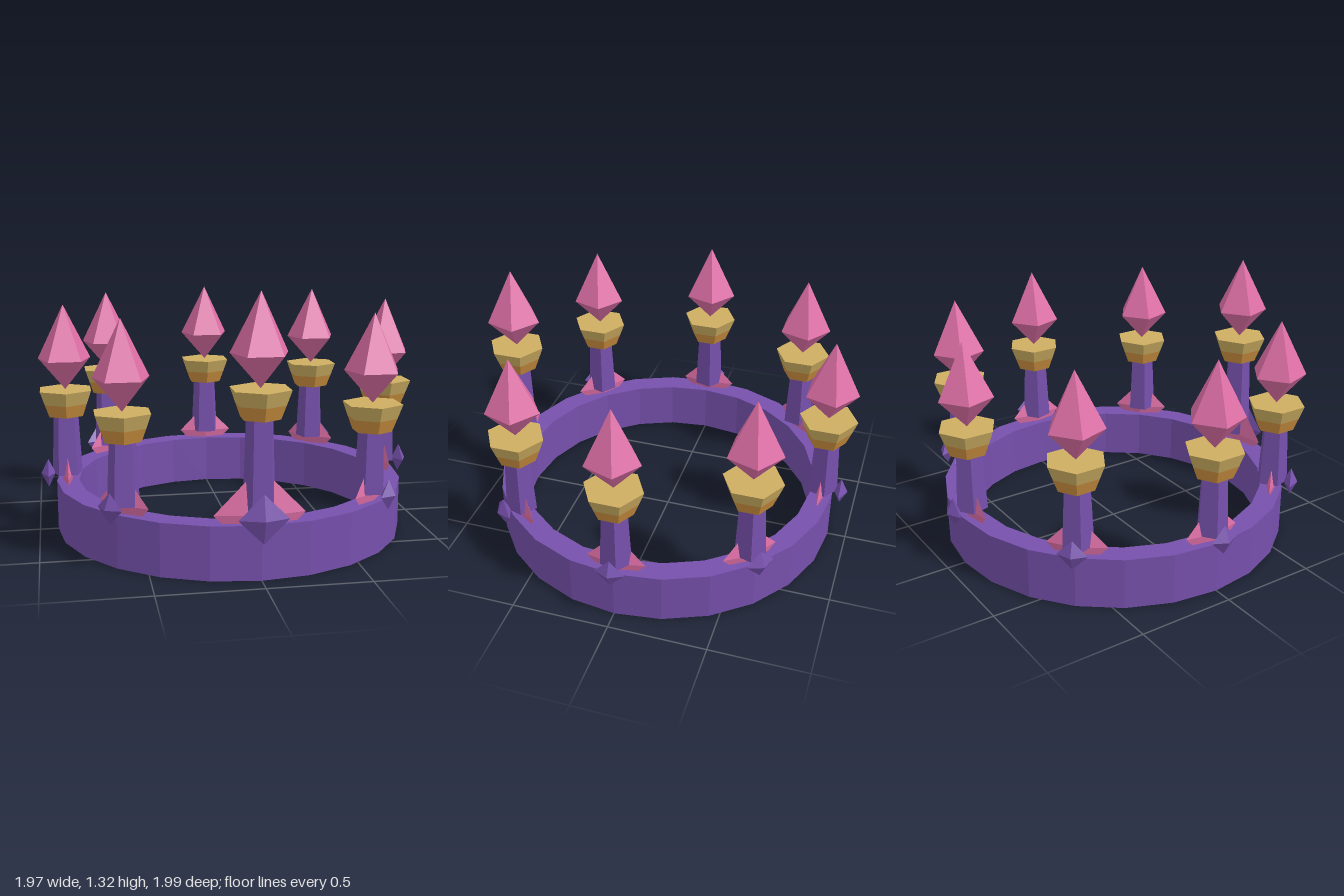
import * as THREE from 'three';

const mat = (name, color) => {
  const m = new THREE.MeshStandardMaterial({ color, flatShading: true });
  m.name = name;
  return m;
};

export function createModel() {
  const purple = mat('purple', 0x7650ac);
  const pink = mat('pink', 0xe070a8);
  const gold = mat('gold', 0xcdae62);
  const amber = mat('amber', 0xcd9040);
  const crown = new THREE.Group();
  crown.name = 'crown';

  const add = (parent, name, geometry, material, x = 0, y = 0, z = 0) => {
    const mesh = new THREE.Mesh(geometry, material);
    mesh.name = name;
    mesh.position.set(x, y, z);
    parent.add(mesh);
    return mesh;
  };

  // Tapered prism between two heights
  const prism = (rTop, rBottom, y0, y1, sides, open = false) =>
    new THREE.CylinderGeometry(rTop, rBottom, y1 - y0, sides, 1, open).translate(0, (y0 + y1) / 2, 0);

  // Diamond: octahedron stretched along each axis
  const diamond = (w, h, d) => new THREE.OctahedronGeometry(1).scale(w, h, d);

  // Band: rectangular section turned around the axis
  const section = [[0.79, 0], [0.905, 0], [0.905, 0.262], [0.79, 0.262], [0.79, 0]];
  add(crown, 'band', new THREE.LatheGeometry(section.map(([r, y]) => new THREE.Vector2(r, y)), 24), purple);

  // Eight spires; the front one is taller with larger ornaments
  for (let i = 0; i < 8; i++) {
    const a = (i * Math.PI) / 4;
    const front = i === 0;
    const sx = Math.sin(a), cz = Math.cos(a);
    const cupY = front ? 0.748 : 0.61;
    const cupTop = cupY + 0.135;

    // Spire parts keep the same heading all around the band
    const spire = new THREE.Group();
    spire.name = front ? 'frontSpire' : 'spire';
    spire.position.set(0.848 * sx, 0, 0.848 * cz);
    crown.add(spire);

    add(spire, 'column', prism(0.066, 0.081, 0.303, cupY + 0.005, 5).rotateY(Math.PI), purple);

    // Six-sided cup in two tones
    const mid = cupY + 0.065;
    add(spire, 'cupLower', prism(0.122, 0.097, cupY, mid, 6), amber);
    add(spire, 'cupUpper', prism(0.148, 0.122, mid, cupTop, 6), gold);

    // Five-sided crystal: short point below, long point above
    const girdle = cupTop + 0.156;
    add(spire, 'crystalTop', prism(0, 0.14, girdle, girdle + 0.278, 5, true).rotateY(Math.PI), pink);
    add(spire, 'crystalBottom', prism(0.14, 0, cupTop, girdle, 5, true).rotateY(Math.PI), pink);

    // Ornaments at the foot, turned to face outwards
    const foot = new THREE.Group();
    foot.name = 'footOrnaments';
    foot.rotation.y = a;
    crown.add(foot);
    add(foot, 'pinkFan', front ? diamond(0.215, 0.22, 0.042) : diamond(0.15, 0.155, 0.03), pink, 0, 0.302, 0.848);
    add(foot, 'outerGem', front ? diamond(0.118, 0.117, 0.038) : diamond(0.075, 0.075, 0.037), purple, 0, 0.304, 0.947);
  }
  return crown;
}
